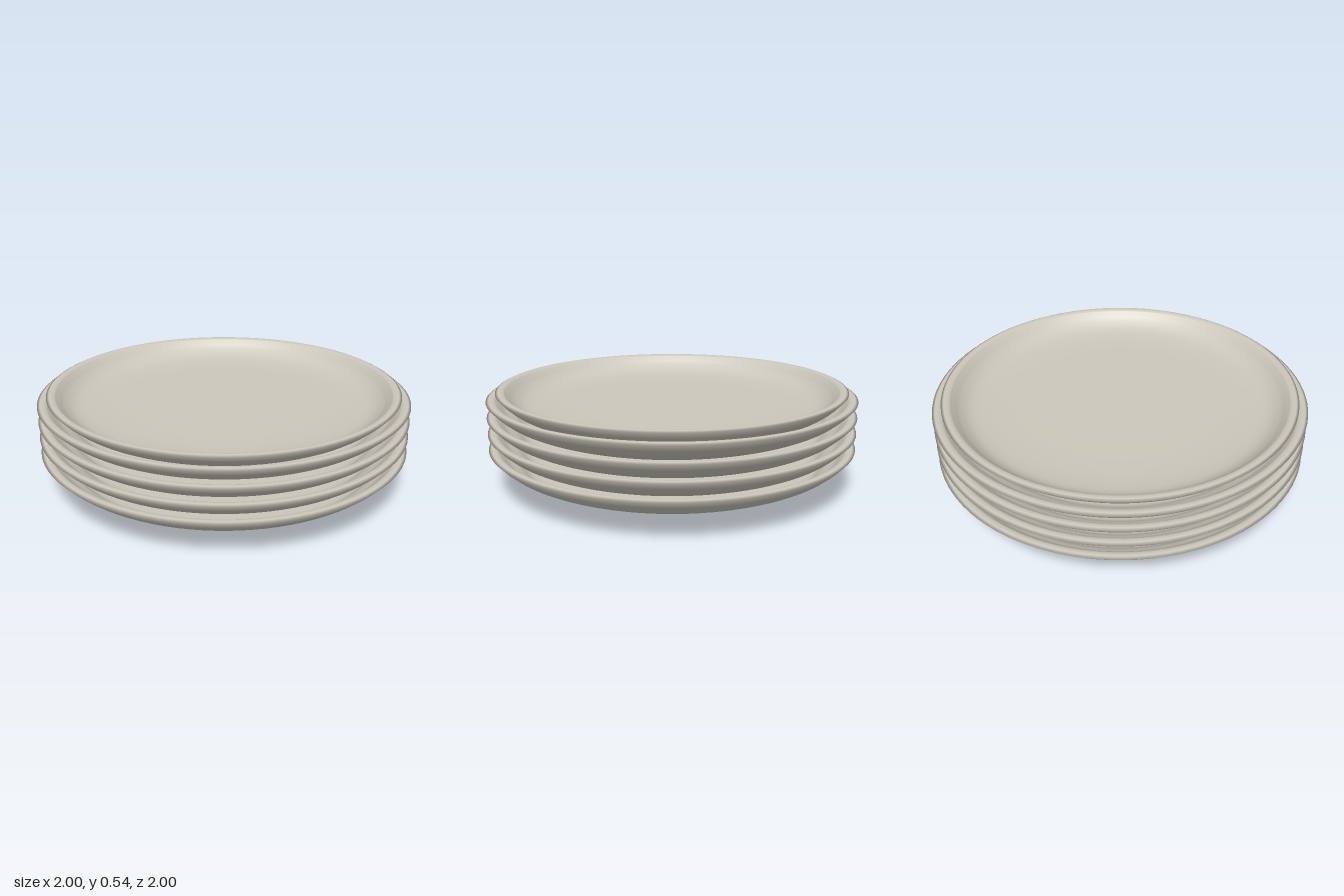
import * as THREE from 'three';

const SEGMENTS = 96;
const v = ([x, y]) => new THREE.Vector2(x, y);

// Smooth curve through a few profile points
const curve = (pts, n) => new THREE.SplineCurve(pts.map(v)).getPoints(n);

// Surface of revolution from a profile that runs from the bottom outwards and up
function addTurned(group, name, points, material) {
  const mesh = new THREE.Mesh(new THREE.LatheGeometry(points, SEGMENTS), material);
  mesh.name = name;
  group.add(mesh);
}

// One plate: foot ring and a bowl with a soft, rounded rim
function createPlate(name, floorY, material) {
  const plate = new THREE.Group();
  plate.name = name;

  addTurned(plate, 'foot', [
    v([0, 0.022]), v([0.34, 0.022]),
    ...curve([
      [0.355, 0.02], [0.367, 0.006], [0.385, 0], [0.415, 0.003], [0.43, 0.018], [0.435, 0.045],
    ], 16),
  ], material);

  const underside = curve([
    [0.42, 0.036], [0.6, 0.052], [0.73, 0.077], [0.83, 0.108], [0.91, 0.146], [0.965, 0.19],
  ], 20);
  const rim = [[1, 0.227], [0.984, 0.235], [0.965, 0.2345]].map(v);
  const inside = curve([
    [0.952, 0.229], [0.93, 0.208], [0.9, 0.18], [0.85, 0.15],
    [0.78, floorY + 0.012], [0.65, floorY + 0.002], [0.45, floorY], [0, floorY],
  ], 36);
  addTurned(plate, 'bowl', [...underside, ...rim, ...inside], material);
  return plate;
}

export function createModel() {
  const model = new THREE.Group();
  model.name = 'plateStack';
  const ceramic = new THREE.MeshStandardMaterial({ color: 0xcbc7bb });
  ceramic.name = 'warm grey ceramic';

  // Four equal plates nested in each other
  const step = 0.0867;
  for (let i = 0; i < 4; i++) {
    const plate = createPlate(`plate${i + 1}`, 0.0867, ceramic);
    plate.position.y = i * step;
    model.add(plate);
  }

  // Slightly smaller, shallower plate on top
  const top = createPlate('topPlate', 0.122, ceramic);
  top.scale.setScalar(0.95);
  top.position.y = 0.535 - 0.235 * 0.95;
  model.add(top);

  return model;
}
